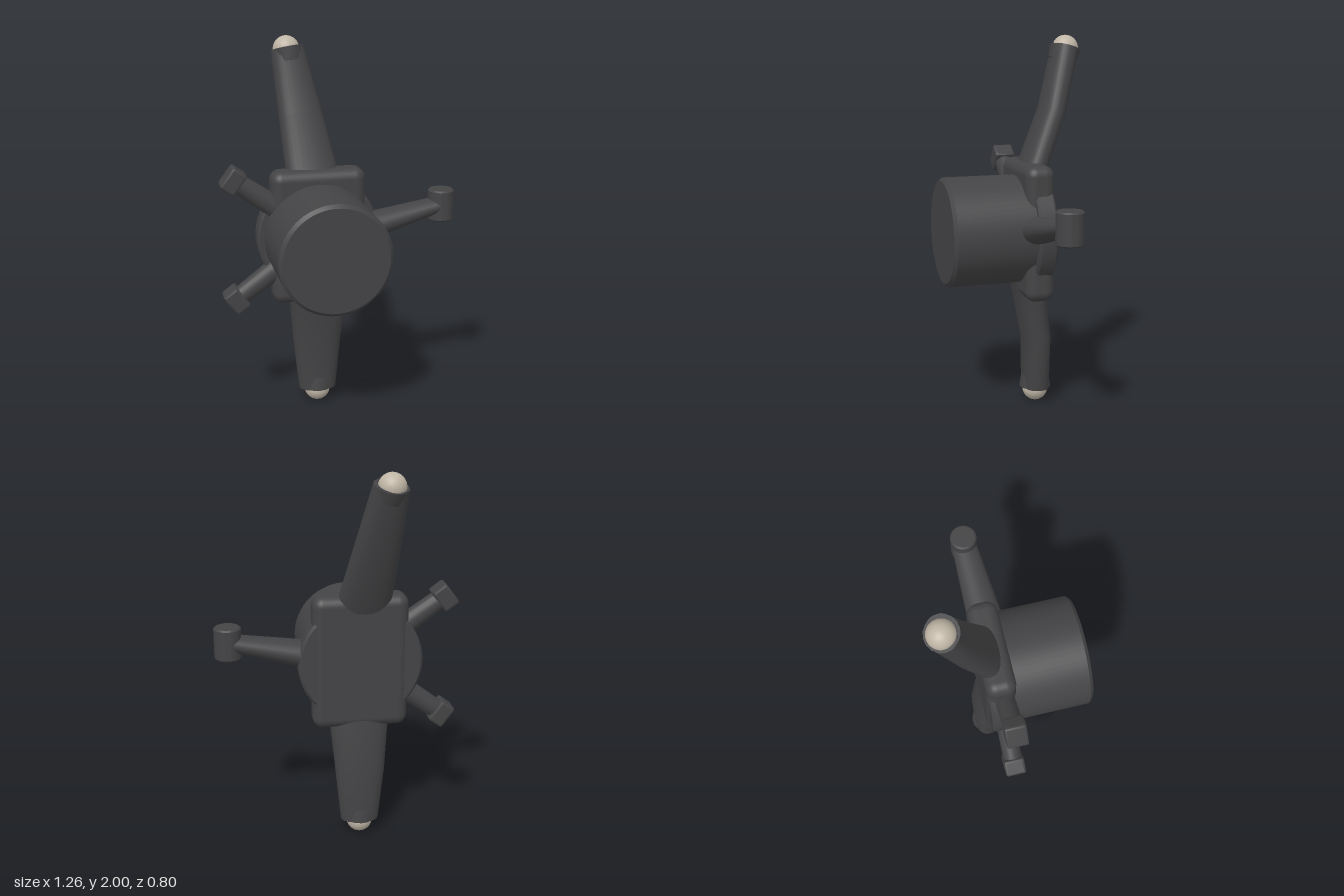
import * as THREE from 'three';
import { toCreasedNormals } from 'three/addons/utils/BufferGeometryUtils.js';
import { RoundedBoxGeometry } from 'three/addons/geometries/RoundedBoxGeometry.js';

const V = (x, y, z) => new THREE.Vector3(x, y, z);

// Tapered arm: oval rings along a path. Sections: [centre, half width along side, half depth].
function loft(sections, side, squareness = 1, n = 28) {
  const pos = [], idx = [], last = sections.length - 1;
  sections.forEach(([c, a, b], i) => {
    const t = sections[Math.min(i + 1, last)][0].clone().sub(sections[Math.max(i - 1, 0)][0]).normalize();
    const u = side.clone().addScaledVector(t, -side.dot(t)).normalize();
    const v = t.clone().cross(u);
    for (let k = 0; k < n; k++) {
      const ang = (k / n) * Math.PI * 2, cs = Math.cos(ang), sn = Math.sin(ang);
      const p = c.clone()
        .addScaledVector(u, a * Math.sign(cs) * Math.abs(cs) ** squareness)
        .addScaledVector(v, b * Math.sign(sn) * Math.abs(sn) ** squareness);
      pos.push(p.x, p.y, p.z);
    }
  });
  for (let i = 0; i < last; i++) {
    for (let k = 0; k < n; k++) {
      const a = i * n + k, b = i * n + (k + 1) % n;
      idx.push(a, b, b + n, a, b + n, a + n);
    }
  }
  // End caps
  [0, last].forEach((i) => {
    const c = sections[i][0], ci = pos.length / 3;
    pos.push(c.x, c.y, c.z);
    for (let k = 0; k < n; k++) {
      const a = i * n + k, b = i * n + (k + 1) % n;
      if (i === 0) idx.push(ci, b, a); else idx.push(ci, a, b);
    }
  });
  const g = new THREE.BufferGeometry();
  g.setAttribute('position', new THREE.Float32BufferAttribute(pos, 3));
  g.setIndex(idx);
  return toCreasedNormals(g, 0.7);
}

// Cylinder along y with chamfered rims
function chamferedCylinder(r, h, c, segments = 48) {
  const pts = [[0, -h / 2], [r - c, -h / 2], [r, -h / 2 + c], [r, h / 2 - c], [r - c, h / 2], [0, h / 2]];
  return toCreasedNormals(new THREE.LatheGeometry(pts.map((p) => new THREE.Vector2(...p)), segments), 0.5);
}

export function createModel() {
  const model = new THREE.Group();
  model.name = 'steeringKnuckle';
  const dark = new THREE.MeshStandardMaterial({ color: 0x444446 });
  const pale = new THREE.MeshStandardMaterial({ color: 0xbfb5a5 });
  const add = (name, geometry, position = V(0, 0, 0), material = dark) => {
    const m = new THREE.Mesh(geometry, material);
    m.name = name;
    m.position.copy(position);
    model.add(m);
    return m;
  };
  const cx = -0.12, cy = 0.98;

  // Central block, bearing hub and rear flange
  add('centralBlock', new RoundedBoxGeometry(0.5, 0.72, 0.155, 5, 0.055), V(cx, cy, -0.073));
  add('hub', chamferedCylinder(0.29, 0.46, 0.018, 64), V(cx, cy, 0.17)).rotation.x = Math.PI / 2;
  add('flange', chamferedCylinder(0.325, 0.1, 0.012, 64), V(cx, cy, -0.09)).rotation.x = Math.PI / 2;

  // Upper and lower bent arms, each ending in a socket and ball
  const arms = [
    ['upper', [
      [V(-0.13, 1.22, -0.065), 0.145, 0.068],
      [V(-0.177, 1.6, -0.222), 0.116, 0.066],
      [V(-0.227, 1.935, -0.315), 0.088, 0.07],
    ], V(-0.23, 1.93, -0.317)],
    ['lower', [
      [V(cx, 0.72, -0.06), 0.165, 0.08],
      [V(cx, 0.37, -0.117), 0.132, 0.073],
      [V(cx, 0.08, -0.115), 0.102, 0.071],
    ], V(cx, 0.07, -0.115)],
  ];
  for (const [name, sections, ball] of arms) {
    add(name + 'Arm', loft(sections, V(1, 0, 0), 0.85));
    const end = sections[2][0], dir = end.clone().sub(sections[1][0]).normalize();
    const socket = add(name + 'Socket', toCreasedNormals(new THREE.CylinderGeometry(0.086, 0.076, 0.07, 16), 0.6),
      end.clone().addScaledVector(dir, -0.037));
    socket.quaternion.setFromUnitVectors(V(0, 1, 0), dir);
    add(name + 'Ball', new THREE.SphereGeometry(0.07, 32, 20), ball, pale);
  }

  // Steering arm with an upright eye
  add('steeringArm', loft([
    [V(0.05, 1.0, -0.04), 0.098, 0.078],
    [V(0.17, 1.02, -0.047), 0.092, 0.071],
    [V(0.55, 1.105, -0.067), 0.066, 0.042],
  ], V(0, 0, 1)));
  add('steeringEye', chamferedCylinder(0.07, 0.17, 0.008), V(0.56, 1.105, -0.067));

  // Pair of caliper mounts, mirrored about the hub axis
  for (const s of [1, -1]) {
    const tip = V(-0.565, cy + s * 0.325, -0.06);
    add('caliperArm', loft([
      [V(-0.28, cy + s * 0.12, -0.06), 0.052, 0.062],
      [tip, 0.05, 0.05],
    ], V(0, 0, 1)));
    add('caliperLug', toCreasedNormals(new RoundedBoxGeometry(0.09, 0.127, 0.11, 1, 0.012), 0.3), tip)
      .rotation.z = -s * 0.635;
  }
  return model;
}
